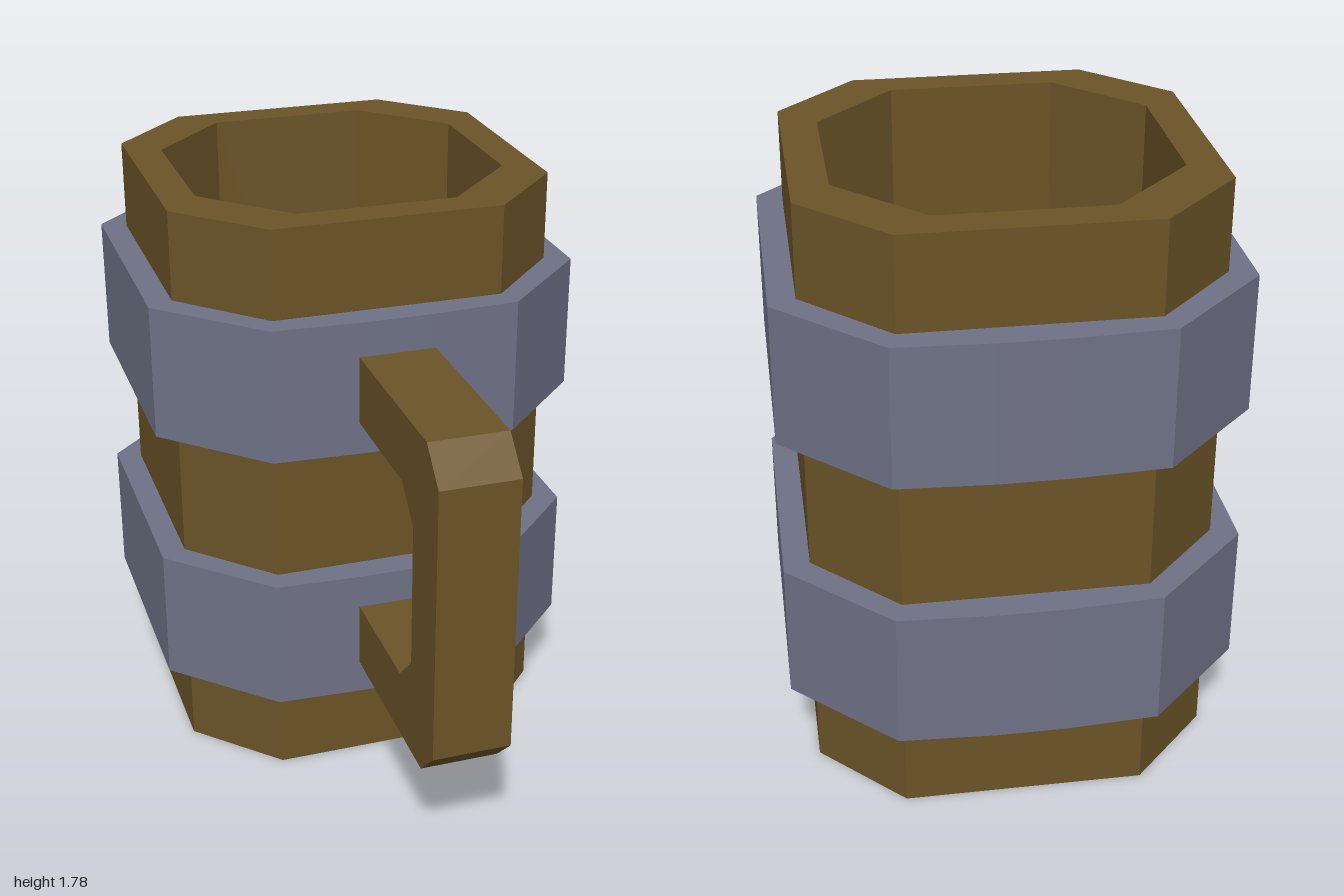
import * as THREE from 'three';

const wood = new THREE.MeshStandardMaterial({ color: 0x6b5428, flatShading: true });
const metal = new THREE.MeshStandardMaterial({ color: 0x6f7286, flatShading: true });
const CZ = -0.33; // depth of the tankard's axis

// Octagon with cut corners: half width, half depth and half lengths of the straight sides
function octagon(hx, hz, sx, sz) {
  return [[hx, sz], [sx, hz], [-sx, hz], [-hx, sz], [-hx, -sz], [-sx, -hz], [sx, -hz], [hx, -sz]]
    .map(([x, z]) => new THREE.Vector2(x, z + CZ));
}

const outer = octagon(0.58, 0.58, 0.345, 0.34);
const inner = octagon(0.475, 0.475, 0.24, 0.235);
const floor = inner.map(p => new THREE.Vector2(p.x * 0.995, (p.y - CZ) * 0.99 + CZ + 0.004));

// Skin a series of horizontal rings
function loft(rings) {
  const pos = [];
  const push = (r, i) => { const p = r.pts[i % r.pts.length]; pos.push(p.x, r.y, p.y); };
  for (let j = 0; j + 1 < rings.length; j++) {
    const a = rings[j], b = rings[j + 1];
    for (let i = 0; i < a.pts.length; i++) {
      if (!b.point) { push(a, i); push(b, i); push(b, i + 1); }
      if (!a.point) { push(a, i); push(b, i + 1); push(a, i + 1); }
    }
  }
  const geo = new THREE.BufferGeometry();
  geo.setAttribute('position', new THREE.Float32BufferAttribute(pos, 3));
  geo.computeVertexNormals();
  return geo;
}

function add(group, name, geo, material) {
  const mesh = new THREE.Mesh(geo, material);
  mesh.name = name;
  group.add(mesh);
  return mesh;
}

export function createModel() {
  const group = new THREE.Group();
  group.name = 'tankard';

  // Hollow wooden body: base, outer wall, rim, inner wall, floor
  const centre = outer.map(() => new THREE.Vector2(0, CZ));
  add(group, 'body', loft([
    { pts: centre, y: 0, point: true },
    { pts: outer, y: 0 },
    { pts: outer, y: 1.78 },
    { pts: inner, y: 1.78 },
    { pts: floor, y: 0.12 },
    { pts: centre, y: 0.12, point: true },
  ]), wood);

  // Metal bands, bulging slightly at front and back
  const half = [[0.655, -0.375], [0.655, 0.375], [0.37, 0.652], [0.1, 0.667]];
  const right = [half[0], half[1], half[2], half[3]];
  const outline = [
    ...right, ...right.slice(1).reverse().map(([x, z]) => [-x, z]),
    ...right.slice(1).map(([x, z]) => [-x, -z]), ...right.slice(2).reverse().map(([x, z]) => [x, -z]),
  ].map(([x, z]) => new THREE.Vector2(x, -(z + CZ)));
  const ring = new THREE.Shape(outline);
  ring.holes.push(new THREE.Path(outer.map(p => new THREE.Vector2(p.x, -p.y))));
  [['lowerBand', 0.275], ['upperBand', 1.1]].forEach(([name, y]) => {
    const geo = new THREE.ExtrudeGeometry(ring, { depth: 0.41, bevelEnabled: false });
    geo.rotateX(-Math.PI / 2);
    add(group, name, geo, metal).position.y = y;
  });

  // Square-section handle with chamfered corners, drawn in the z-y plane
  const profile = [
    [0.25, 0.38], [0.905, 0.38], [1, 0.475], [1, 1.31], [0.905, 1.405], [0.25, 1.405],
    [0.25, 1.2], [0.715, 1.2], [0.81, 1.105], [0.81, 0.675], [0.715, 0.58], [0.25, 0.58],
  ].map(([z, y]) => new THREE.Vector2(z, y));
  const handle = new THREE.ExtrudeGeometry(new THREE.Shape(profile), { depth: 0.23, bevelEnabled: false });
  handle.translate(0, 0, -0.115);
  handle.rotateY(-Math.PI / 2);
  add(group, 'handle', handle, wood);

  return group;
}
